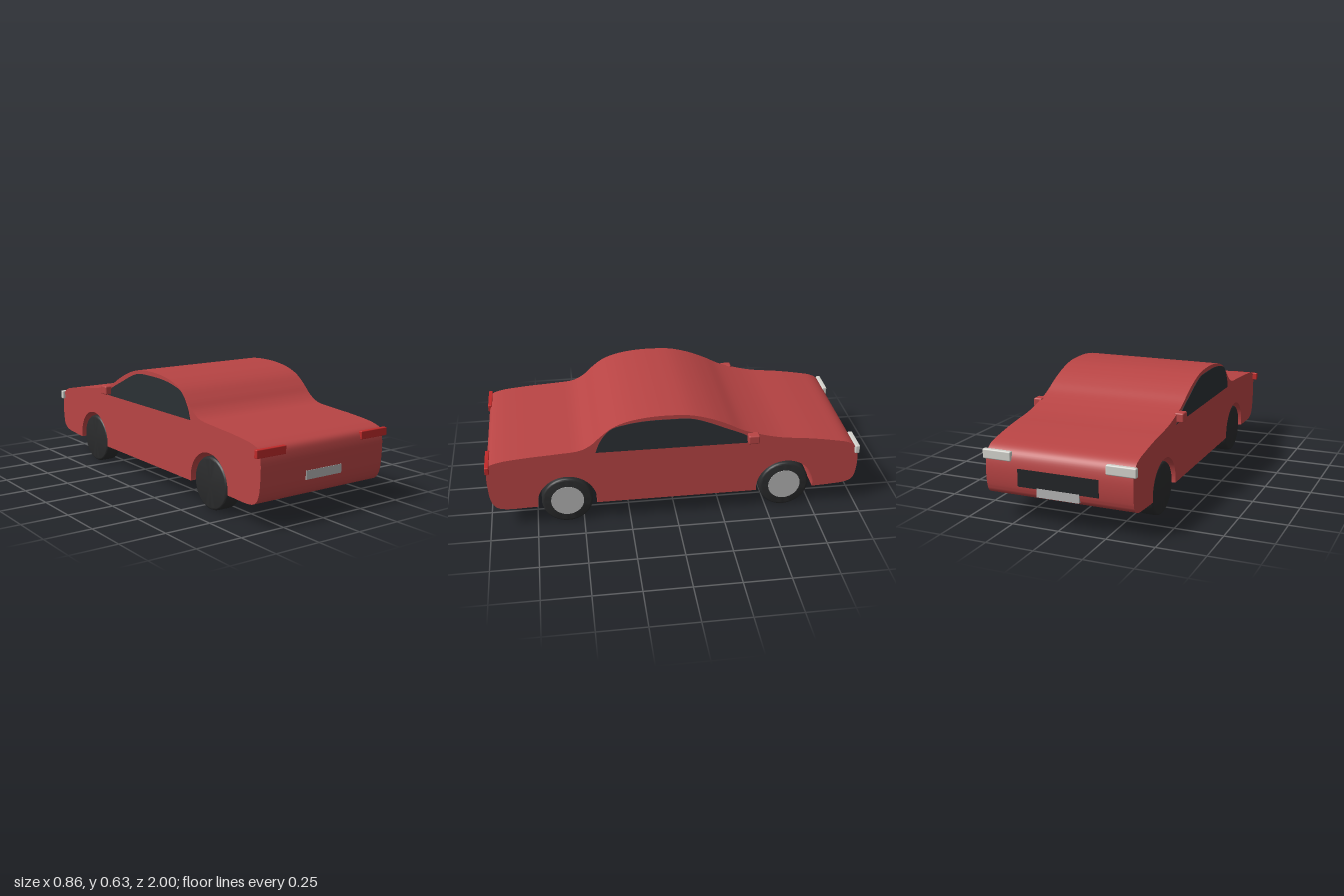
import * as THREE from 'three';
import { toCreasedNormals } from 'three/addons/utils/BufferGeometryUtils.js';
import { RoundedBoxGeometry } from 'three/addons/geometries/RoundedBoxGeometry.js';

const paint = (color) => new THREE.MeshStandardMaterial({ color });
const red = paint(0xb84444), lampRed = paint(0xc02a2a), glass = paint(0x2b3034);
const rubber = paint(0x2a2b2c), metal = paint(0xb4b4b4), lampWhite = paint(0xd2d2cc), black = paint(0x222426);

const WIDTH = 0.78, WHEEL_Y = 0.14, ARCH_R = 0.158;
const AXLES = { rear: 0.585, front: -0.598 };

// Smooth curve through [z, y] points
function smooth(points, n) {
  const curve = new THREE.CatmullRomCurve3(points.map(([z, y]) => new THREE.Vector3(z, y, 0)));
  return curve.getPoints(n).map((p) => new THREE.Vector2(p.x, p.y));
}

// Extrude a side profile (z, y) across the car, centred on x = 0
function extrudeAcross(shape, depth) {
  const geo = new THREE.ExtrudeGeometry(shape, { depth, bevelEnabled: false, curveSegments: 40 });
  geo.translate(0, 0, -depth / 2).rotateY(-Math.PI / 2);
  return toCreasedNormals(geo, 0.6);
}

function bodyShape() {
  const outline = smooth([
    [-0.757, 0.12], [-0.86, 0.125], [-0.94, 0.134], [-0.978, 0.155], [-0.993, 0.2], [-0.995, 0.3],
    [-0.978, 0.357], [-0.94, 0.386], [-0.85, 0.408], [-0.72, 0.43], [-0.56, 0.45], [-0.45, 0.477],
    [-0.355, 0.51], [-0.275, 0.552], [-0.18, 0.593], [-0.075, 0.622], [0.03, 0.63], [0.14, 0.627],
    [0.25, 0.61], [0.33, 0.58], [0.395, 0.531], [0.445, 0.485], [0.505, 0.454], [0.625, 0.442],
    [0.785, 0.432], [0.93, 0.415], [0.98, 0.395], [0.995, 0.35], [0.995, 0.25], [0.985, 0.177],
    [0.965, 0.14], [0.93, 0.122], [0.742, 0.12],
  ], 160);
  const shape = new THREE.Shape(outline);
  // Wheel arches cut into the underside
  const tilt = Math.asin((WHEEL_Y - 0.12) / ARCH_R);
  for (const z of [AXLES.rear, AXLES.front]) {
    shape.absarc(z, WHEEL_Y, ARCH_R, -tilt, Math.PI + tilt, false);
  }
  return shape;
}

function windowShape() {
  const top = smooth([
    [0.425, 0.436], [0.4, 0.5], [0.345, 0.567], [0.265, 0.592], [0.165, 0.605], [0.03, 0.607],
    [-0.075, 0.602], [-0.155, 0.577], [-0.26, 0.53], [-0.365, 0.482], [-0.41, 0.445], [-0.447, 0.432],
  ], 50);
  return new THREE.Shape(top);
}

function createWheel() {
  const wheel = new THREE.Group();
  // Tyre with softly rounded shoulders, axis along x
  const w = 0.048, r = 0.137, c = 0.016;
  const profile = [new THREE.Vector2(0, -w)];
  for (const side of [-1, 1]) {
    for (let i = 0; i <= 5; i++) {
      const a = (side < 0 ? i - 5 : i) * Math.PI / 10;
      profile.push(new THREE.Vector2(r - c + c * Math.cos(a), side * (w - c) + c * Math.sin(a)));
    }
  }
  profile.push(new THREE.Vector2(0, w));
  const tyre = new THREE.Mesh(toCreasedNormals(new THREE.LatheGeometry(profile, 48).rotateZ(-Math.PI / 2), 0.5), rubber);
  tyre.name = 'tyre';
  const hub = new THREE.Mesh(new THREE.CylinderGeometry(0.088, 0.088, 0.02, 40).rotateZ(-Math.PI / 2), metal);
  hub.name = 'hubcap';
  hub.position.x = w - 0.008;
  wheel.add(tyre, hub);
  return wheel;
}

export function createModel() {
  const car = new THREE.Group();
  car.name = 'car';
  const add = (name, geometry, material, x = 0, y = 0, z = 0) => {
    const mesh = new THREE.Mesh(geometry, material);
    mesh.name = name;
    mesh.position.set(x, y, z);
    car.add(mesh);
  };

  add('body', extrudeAcross(bodyShape(), WIDTH), red);

  for (const side of [-1, 1]) {
    const label = side > 0 ? 'Left' : 'Right';
    add('sideWindow' + label, extrudeAcross(windowShape(), 0.012), glass, side * 0.387);
    add('mirror' + label, new RoundedBoxGeometry(0.05, 0.05, 0.06, 3, 0.008), red, side * 0.403, 0.465, -0.408);
    add('tailLight' + label, new RoundedBoxGeometry(0.175, 0.042, 0.022, 2, 0.004), lampRed, side * 0.328, 0.381, 0.989);
    add('headlight' + label, new RoundedBoxGeometry(0.155, 0.05, 0.026, 3, 0.007), lampWhite, side * 0.328, 0.345, -0.987);
    for (const end of ['front', 'rear']) {
      const wheel = createWheel();
      wheel.name = end + 'Wheel' + label;
      wheel.position.set(side * 0.333, WHEEL_Y, AXLES[end]);
      car.add(wheel);
    }
  }

  // Grille and number plates
  add('grille', new THREE.BoxGeometry(0.43, 0.09, 0.02), black, 0, 0.245, -0.988);
  add('frontPlate', new THREE.BoxGeometry(0.226, 0.045, 0.02), metal, 0, 0.182, -0.989);
  add('rearPlate', new THREE.BoxGeometry(0.226, 0.045, 0.02), metal, 0, 0.235, 0.988);
  return car;
}
